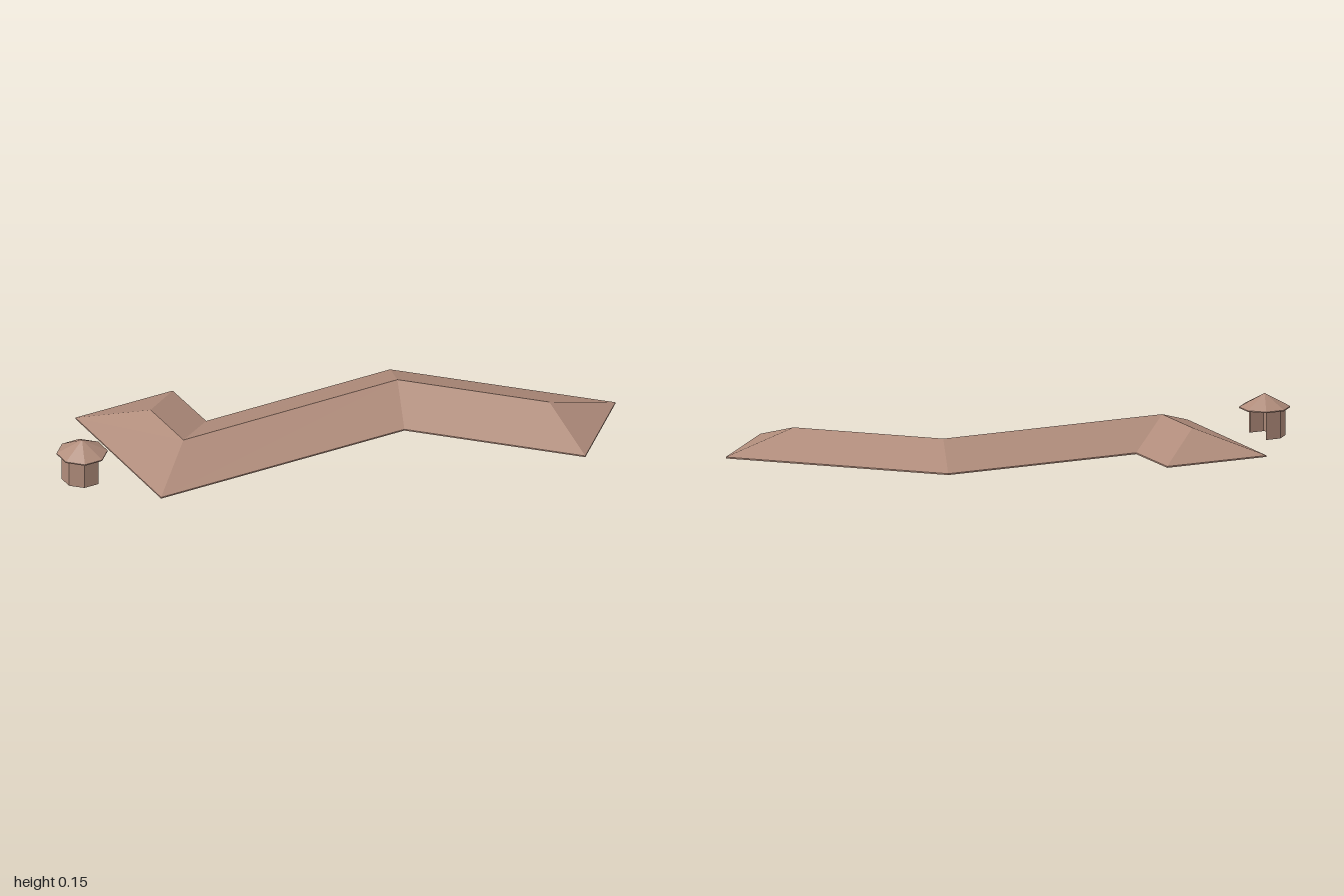
import * as THREE from 'three';
import { mergeGeometries } from 'three/addons/utils/BufferGeometryUtils.js';

// Points are [x, z] in plan
const eaves = {
  A: [-0.817, -0.358], B: [-0.44, -0.43], C: [-0.392, -0.198], D: [0.322, -0.338],
  E: [0.998, 0.114], F: [0.787, 0.43], G: [0.245, 0.066], H: [-0.7, 0.25],
};
const ridge = { P: [-0.593, -0.203], Q: [-0.547, 0.027], R: [0.285, -0.138], S: [0.74, 0.168] };
const EAVE_LOW = 0.011, EAVE = 0.016, RIDGE = 0.094;

const lerp = (a, b, t) => [a[0] + (b[0] - a[0]) * t, a[1] + (b[1] - a[1]) * t];

// Flat polygons (triangles or quads of [x, y, z]) joined into one faceted geometry
function facets(polys) {
  const pos = [];
  for (const p of polys) {
    for (let i = 1; i < p.length - 1; i++) pos.push(...p[0], ...p[i], ...p[i + 1]);
  }
  const g = new THREE.BufferGeometry();
  g.setAttribute('position', new THREE.Float32BufferAttribute(pos, 3));
  g.computeVertexNormals();
  return g;
}

// Upright prism from a plan outline
function prism(points, y0, y1) {
  const shape = new THREE.Shape(points.map(([x, z]) => new THREE.Vector2(x, -z)));
  const g = new THREE.ExtrudeGeometry(shape, { depth: y1 - y0, bevelEnabled: false });
  return g.rotateX(-Math.PI / 2).translate(0, y0, 0);
}

// Edge band around a roof; outline runs clockwise as seen from above
function band(outline, y0, y1) {
  return facets(outline.map(([x, z], i) => {
    const [u, w] = outline[(i + 1) % outline.length];
    return [[x, y0, z], [u, y0, w], [u, y1, w], [x, y1, z]].reverse();
  }));
}

// Low wall strip between two plan points
function strip(a, b, width = 0.011) {
  const dx = b[0] - a[0], dz = b[1] - a[1];
  const g = new THREE.BoxGeometry(Math.hypot(dx, dz) + width, 0.005, width);
  return g.rotateY(-Math.atan2(dz, dx)).translate((a[0] + b[0]) / 2, 0.0025, (a[1] + b[1]) / 2);
}

// Room partitions laid out along one wing: s runs along the ridge, w across it
function partitions(start, end, s0, s1, rooms) {
  const len = Math.hypot(end[0] - start[0], end[1] - start[1]);
  const d = [(end[0] - start[0]) / len, (end[1] - start[1]) / len];
  const at = (s, w) => [start[0] + d[0] * s - d[1] * w, start[1] + d[1] * s + d[0] * w];
  const out = [];
  const line = (sa, wa, sb, wb) => out.push(strip(at(sa, wa), at(sb, wb)));
  const step = (s1 - s0) / rooms, W = 0.125;
  for (let i = 0; i <= rooms; i++) {
    const s = s0 + i * step;
    line(s, 0.025, s, W);
    if (i === rooms) break;
    // Gaps in the corridor and outer walls leave doorways
    line(s, 0.025, s + step * 0.65, 0.025);
    line(s + step * 0.1, W, s + step * 0.75, W);
    // Small closed room on the other side of the corridor
    const a = s + step * 0.15, b = s + step * 0.75;
    line(a, -W, b, -W);
    line(a, -0.055, b, -0.055);
    line(a, -W, a, -0.055);
    line(b, -W, b, -0.055);
  }
  return out;
}

export function createModel() {
  const clay = new THREE.MeshStandardMaterial({ color: 0xb08c7b, side: THREE.DoubleSide });
  clay.name = 'clay brown';
  const grey = new THREE.MeshStandardMaterial({ color: 0xb2b4b0 });
  grey.name = 'slab grey';

  const model = new THREE.Group();
  model.name = 'longHouseWithPavilion';
  const add = (parent, name, geometry, material) => {
    const mesh = new THREE.Mesh(geometry, material);
    mesh.name = name;
    parent.add(mesh);
  };

  // Main house: hollow hipped roof following a bent plan
  const house = new THREE.Group();
  house.name = 'house';
  model.add(house);
  const faces = ['ABP', 'BCQP', 'CDRQ', 'DESR', 'EFS', 'FGRS', 'GHQR', 'HAPQ'];
  add(house, 'houseRoof', facets(faces.map((f) => [...f].reverse().map((k) => (
    eaves[k] ? [eaves[k][0], EAVE, eaves[k][1]] : [ridge[k][0], RIDGE, ridge[k][1]]
  )))), clay);
  add(house, 'houseFascia', band(Object.values(eaves), EAVE_LOW, EAVE), clay);

  // Floor slab, set in from the eaves and stopping short of the open end wing
  const { C, D, E, F, G, H } = eaves, { Q, R, S } = ridge, t = 0.22;
  add(house, 'floorSlab', prism([
    [-0.73, -0.13], lerp(C, Q, t), lerp(D, R, 0.27), lerp(E, S, t),
    lerp(F, S, t), lerp(G, R, t), lerp(H, Q, t),
  ], 0.004, 0.012), grey);

  // Partition lines under the slab in both wings
  add(house, 'partitions', mergeGeometries([
    ...partitions(Q, R, -0.1, 0.78, 8),
    ...partitions(R, S, 0.1, 0.61, 5),
  ]), clay);

  // Pavilion: eight-sided roof on five wall panels, open towards the house
  const pavilion = new THREE.Group();
  pavilion.name = 'pavilion';
  pavilion.position.set(-0.911, 0, 0.011);
  model.add(pavilion);
  const corner = (i, r) => {
    const a = THREE.MathUtils.degToRad(11.5 + 45 * i);
    return [r * Math.cos(a), r * Math.sin(a)];
  };
  const ring = Array.from({ length: 8 }, (_, i) => corner(i, 0.089));
  add(pavilion, 'pavilionRoof', facets(ring.map(([x, z], i) => {
    const [u, w] = ring[(i + 1) % 8];
    return [[u, 0.103, w], [x, 0.103, z], [0, 0.151, 0]];
  })), clay);
  add(pavilion, 'pavilionFascia', band(ring.reverse(), 0.099, 0.103), clay);
  const panels = [1, 2, 3, 4, 5, 6];
  add(pavilion, 'pavilionWall', prism([
    ...panels.map((i) => corner(i, 0.0725)),
    ...panels.reverse().map((i) => corner(i, 0.066)),
  ], 0, 0.106), clay);

  return model;
}
